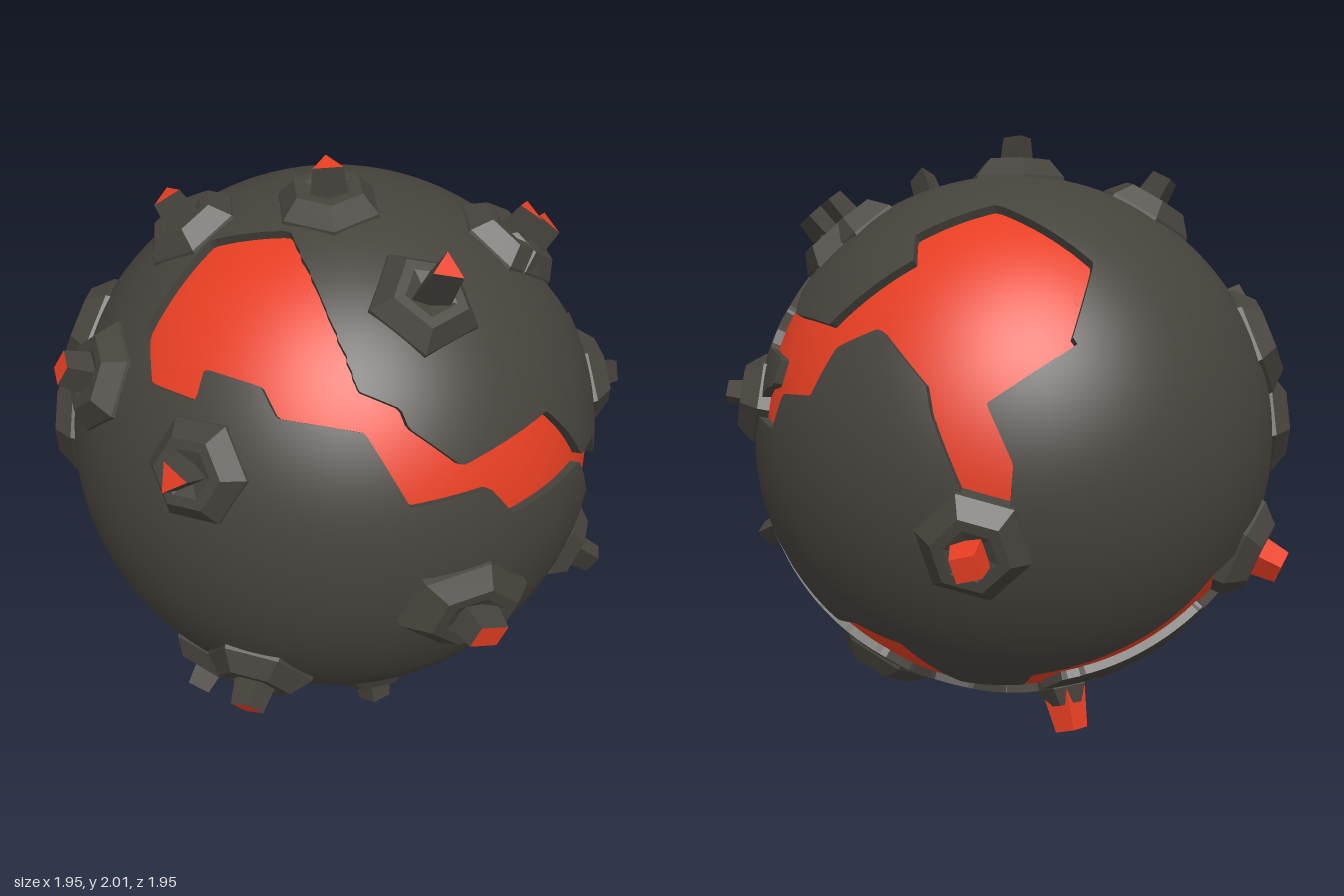
import * as THREE from 'three';

const CENTER = new THREE.Vector3(-0.03, 0.975, 0.01);
const R = 0.895, LAVA_R = 0.866;
const V = (x, y, z) => new THREE.Vector3(x, y, z);

// Surface directions from flat coordinates on one hemisphere
const lift = (v) => Math.sqrt(Math.max(0, R * R - v));
const front = (x, y) => { x -= CENTER.x; y -= CENTER.y; return V(x, y, lift(x * x + y * y)).normalize(); };
const right = (z, y) => { z -= CENTER.z; y -= CENTER.y; return V(lift(z * z + y * y), y, z).normalize(); };
const top = (x, z) => { x -= CENTER.x; z -= CENTER.z; return V(x, lift(x * x + z * z), z).normalize(); };
const tilted = (azimuth, elevation) => {
  const turn = new THREE.Euler(-THREE.MathUtils.degToRad(elevation), THREE.MathUtils.degToRad(azimuth), 0, 'YXZ');
  return (a, b) => V(a, b, lift(a * a + b * b)).applyEuler(turn).normalize();
};
const under = tilted(142, -30);
const back = tilted(217, 21);
const list = (fn, ...pts) => pts.map(([a, b]) => fn(a, b));

// Front channel: from the top front patch to the right side
const frontChannel = [
  ...list(top, [-0.65, 0.33], [-0.43, 0.16], [-0.19, 0.25]),
  ...list(front, [-0.03, 1.52], [0.09, 1.47], [0.11, 1.42], [0.27, 1.29], [0.57, 1.33], [0.65, 1.23]),
  ...list(right, [0.48, 1.1], [0.35, 1.09], [0.29, 0.98], [0, 0.98], [0, 0.72], [0.29, 0.75], [0.36, 0.89], [0.41, 0.92], [0.5, 1.09]),
  ...list(front, [0.44, 1.09], [0.36, 1.2], [0.11, 1.2], [-0.02, 1.42], [-0.27, 1.45], [-0.31, 1.52],
    [-0.47, 1.53], [-0.5, 1.45], [-0.65, 1.44]),
];

// Lower channel: continues from the right side across the underside
const lowerChannel = [
  ...list(right, [0, 0.98], [-0.33, 0.44], [-0.45, 0.47], [-0.55, 0.43]),
  ...list(under, [0.11, -0.36], [0.3, -0.4], [0.36, -0.32], [0.72, -0.3], [0.82, -0.24]),
  ...list(back, [0.26, -0.56], [0.44, -0.65], [0.17, -0.74]),
  ...list(under, [0.76, -0.41], [0.41, -0.42], [0.3, -0.5], [0.46, -0.54], [0.3, -0.68], [0.17, -0.53], [0.02, -0.57],
    [-0.11, -0.52], [-0.11, -0.39]),
  ...list(right, [-0.33, 0.3], [-0.13, 0.52], [0, 0.72]),
];

// Upper channel: from the right side over the upper back
const upperChannel = [
  ...list(right, [0.12, 1.57], [0, 1.6], [-0.08, 1.5], [-0.18, 1.44], [-0.42, 1.44], [-0.46, 1.64]),
  ...list(top, [0.33, -0.36], [0.07, -0.33], [-0.2, -0.57], [-0.1, -0.76]),
  ...list(under, [0.55, 0.66], [0.36, 0.63], [0.45, 0.48], [0.44, 0.33], [0.35, 0.36], [0.21, 0.63], [0.18, 0.69], [-0.02, 0.79]),
  ...list(right, [-0.5, 1.38], [-0.49, 1.23], [-0.35, 1.21], [-0.32, 1.09], [-0.1, 1.1], [-0.19, 1.2], [-0.26, 1.22],
    [-0.25, 1.31], [-0.03, 1.31], [0, 1.37], [0.12, 1.41]),
];

// Signed distance to the channels on the unit sphere: negative inside
const cross = V(0, 0, 0), near = V(0, 0, 0), line = new THREE.Line3();
function channelDistance(p) {
  let dist = 9, inside = false;
  for (const poly of [frontChannel, lowerChannel, upperChannel]) {
    let turn = 0;
    poly.forEach((a, i) => {
      const b = poly[(i + 1) % poly.length];
      turn += Math.atan2(cross.crossVectors(a, b).dot(p), a.dot(b) - a.dot(p) * b.dot(p));
      line.set(a, b).closestPointToPoint(p, true, near);
      dist = Math.min(dist, near.normalize().distanceTo(p));
    });
    if (turn < -Math.PI) inside = true;
  }
  return inside ? -dist : dist;
}

function soup(points, normals) {
  const g = new THREE.BufferGeometry();
  g.setAttribute('position', new THREE.Float32BufferAttribute(points.flatMap((p) => [p.x, p.y, p.z]), 3));
  if (normals) g.setAttribute('normal', new THREE.Float32BufferAttribute(normals.flatMap((p) => [p.x, p.y, p.z]), 3));
  else g.computeVertexNormals();
  return g;
}

// Split a fine sphere along the channels into crust, sunken lava and channel walls
function splitSphere() {
  const pos = new THREE.IcosahedronGeometry(1, 48).attributes.position;
  const crust = [], lava = [], walls = [], cache = new Map();
  const distAt = (p) => {
    const key = `${p.x.toFixed(4)},${p.y.toFixed(4)},${p.z.toFixed(4)}`;
    if (!cache.has(key)) cache.set(key, channelDistance(p));
    return cache.get(key);
  };
  const fan = (out, poly) => { for (let k = 2; k < poly.length; k++) out.push(poly[0], poly[k - 1], poly[k]); };
  for (let i = 0; i < pos.count; i += 3) {
    const tri = [0, 1, 2].map((k) => V(0, 0, 0).fromBufferAttribute(pos, i + k).normalize());
    const f = tri.map(distAt), outer = [], inner = [];
    let enter, leave;
    tri.forEach((a, k) => {
      const n = (k + 1) % 3;
      (f[k] < 0 ? inner : outer).push(a);
      if ((f[k] < 0) !== (f[n] < 0)) {
        const c = a.clone().lerp(tri[n], f[k] / (f[k] - f[n])).normalize();
        outer.push(c);
        inner.push(c);
        if (f[k] < 0) leave = c; else enter = c;
      }
    });
    fan(crust, outer);
    fan(lava, inner);
    if (enter) {
      const at = (p, r) => p.clone().multiplyScalar(r);
      const [a, b, c, d] = [at(enter, LAVA_R), at(leave, LAVA_R), at(leave, R), at(enter, R)];
      walls.push(a, b, c, a, c, d);
    }
  }
  const shell = (dirs, r) => soup(dirs.map((p) => p.clone().multiplyScalar(r)), dirs);
  return { crust: shell(crust, R), lava: shell(lava, LAVA_R), walls: soup(walls) };
}

const faceted = (g) => { const n = g.toNonIndexed(); n.computeVertexNormals(); return n; };

// A faceted mound, with a chimney of n sides ending at distance tip
function makeVent(dir, rock, lava, { r = 0.19, sides = 6, tip = 1.03, n = 4, stretch = 1, hot = false }) {
  const vent = new THREE.Group();
  vent.name = 'vent';
  const profile = [[r * 0.98, 0.85], [r * 0.95, 0.89], [r * 0.65, 0.95], [r * 0.45, 0.95], [0, tip ? 0.92 : 0.95]]
    .map(([x, y]) => new THREE.Vector2(x, y));
  const mound = new THREE.Mesh(faceted(new THREE.LatheGeometry(profile, sides)), rock);
  mound.name = 'ventMound';
  vent.add(mound);
  if (tip) {
    const height = tip - 0.86;
    const pipe = new THREE.CylinderGeometry(0.055, 0.08, height, n).rotateY(Math.PI / n);
    const chimney = new THREE.Mesh(faceted(pipe), [hot ? lava : rock, lava, rock]);
    chimney.name = 'ventChimney';
    chimney.position.y = 0.86 + height / 2;
    vent.add(chimney);
  }
  vent.scale.x = stretch;
  vent.quaternion.setFromUnitVectors(V(0, 1, 0), dir);
  return vent;
}

// Vent sites by kind
const VENT_KINDS = [
  [{}, [front(-0.345, 0.46), top(-0.8, 0.26), front(0.067, 0.134)]],
  [{ sides: 5 }, [front(-0.48, 0.29), front(-0.28, 0.145)]],
  [{ sides: 5, tip: 1.09, n: 3 }, [top(0.19, 0.5)]],
  [{ stretch: 1.45, r: 0.18 }, [front(0.3, 0.79)]],
  [{ tip: 1, n: 3, r: 0.2, stretch: 0.82 }, [right(0.01, 1.13)]],
  [{ n: 3, r: 0.18 }, [top(-0.06, 0.13), top(-0.49, 0.01), top(0.51, 0.08), front(-0.51, 1.27)]],
  [{ n: 3, r: 0.16, sides: 5 }, [right(0.28, 0.61), right(0.06, 1.64)]],
  [{ tip: 0, r: 0.2 }, [back(0.56, 0.1), back(0.66, -0.17), under(-0.34, -0.5)]],
  [{ hot: true }, [back(0.36, -0.58), under(0.34, 0.28)]],
  [{ hot: true, r: 0.1, sides: 5, tip: 1.04 }, [under(0.3, -0.63)]],
];

export function createModel() {
  const rock = new THREE.MeshStandardMaterial({ color: 0x46423c });
  rock.name = 'darkRock';
  const lava = new THREE.MeshStandardMaterial({ color: 0xe63e22 });
  lava.name = 'lava';

  const planet = new THREE.Group();
  planet.name = 'lavaPlanet';
  const parts = splitSphere();
  for (const [name, geo, mat] of [['crust', parts.crust, rock], ['lavaChannels', parts.lava, lava], ['channelWalls', parts.walls, rock]]) {
    const mesh = new THREE.Mesh(geo, mat);
    mesh.name = name;
    planet.add(mesh);
  }
  for (const [kind, sites] of VENT_KINDS) sites.forEach((dir) => planet.add(makeVent(dir, rock, lava, kind)));
  planet.position.copy(CENTER);

  const model = new THREE.Group();
  model.name = 'model';
  model.add(planet);
  return model;
}
